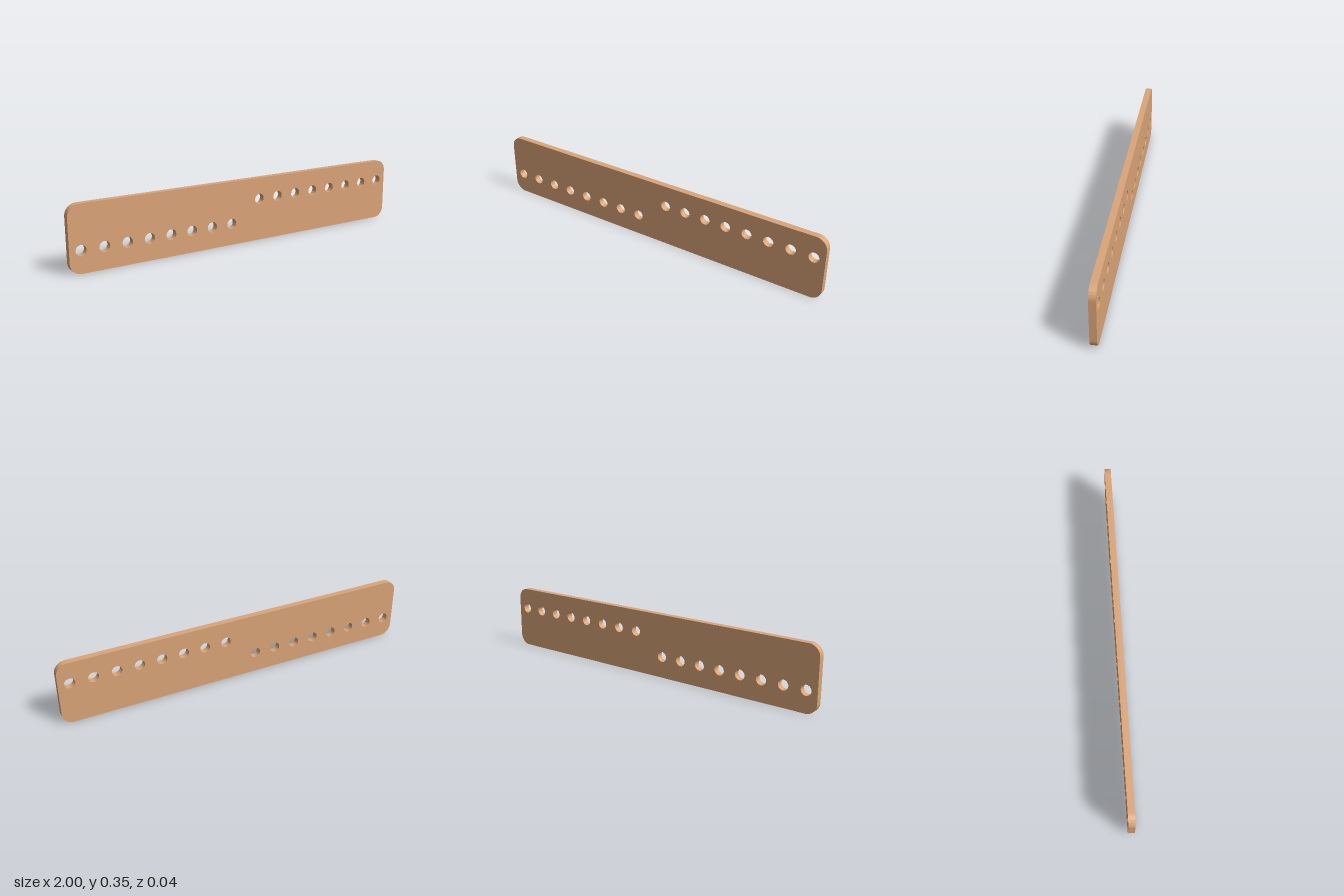
import * as THREE from 'three';
import { toCreasedNormals } from 'three/addons/utils/BufferGeometryUtils.js';

const W = 2, H = 0.348, D = 0.035, R = 0.06;
const HOLE_R = 0.028, HOLES = 8, PITCH = 0.1215, FIRST_X = 0.089;
const HOLE_DY = 0.057; // row offset from the mid height

// Rounded rectangle centred on the origin
function plateOutline() {
  const s = new THREE.Shape();
  const x = W / 2 - R, y = H / 2 - R;
  s.absarc(x, y, R, 0, Math.PI / 2);
  s.absarc(-x, y, R, Math.PI / 2, Math.PI);
  s.absarc(-x, -y, R, Math.PI, Math.PI * 1.5);
  s.absarc(x, -y, R, Math.PI * 1.5, Math.PI * 2);
  s.closePath();
  return s;
}

export function createModel() {
  const group = new THREE.Group();
  group.name = 'perforatedPlate';

  // Two staggered rows of holes: high on the left half, low on the right half
  const outline = plateOutline();
  for (const side of [1, -1]) {
    for (let i = 0; i < HOLES; i++) {
      const hole = new THREE.Path();
      hole.absarc(side * (FIRST_X + i * PITCH), side * HOLE_DY, HOLE_R, 0, Math.PI * 2, true);
      outline.holes.push(hole);
    }
  }

  // Plate, with smooth corners and hole walls but sharp rims
  const geometry = new THREE.ExtrudeGeometry(outline, { depth: D, bevelEnabled: false, curveSegments: 24 });
  geometry.translate(0, H / 2, -D / 2);
  const plate = new THREE.Mesh(
    toCreasedNormals(geometry, Math.PI / 6),
    new THREE.MeshStandardMaterial({ color: 0xdba578 })
  );
  plate.name = 'plate';
  group.add(plate);
  return group;
}
